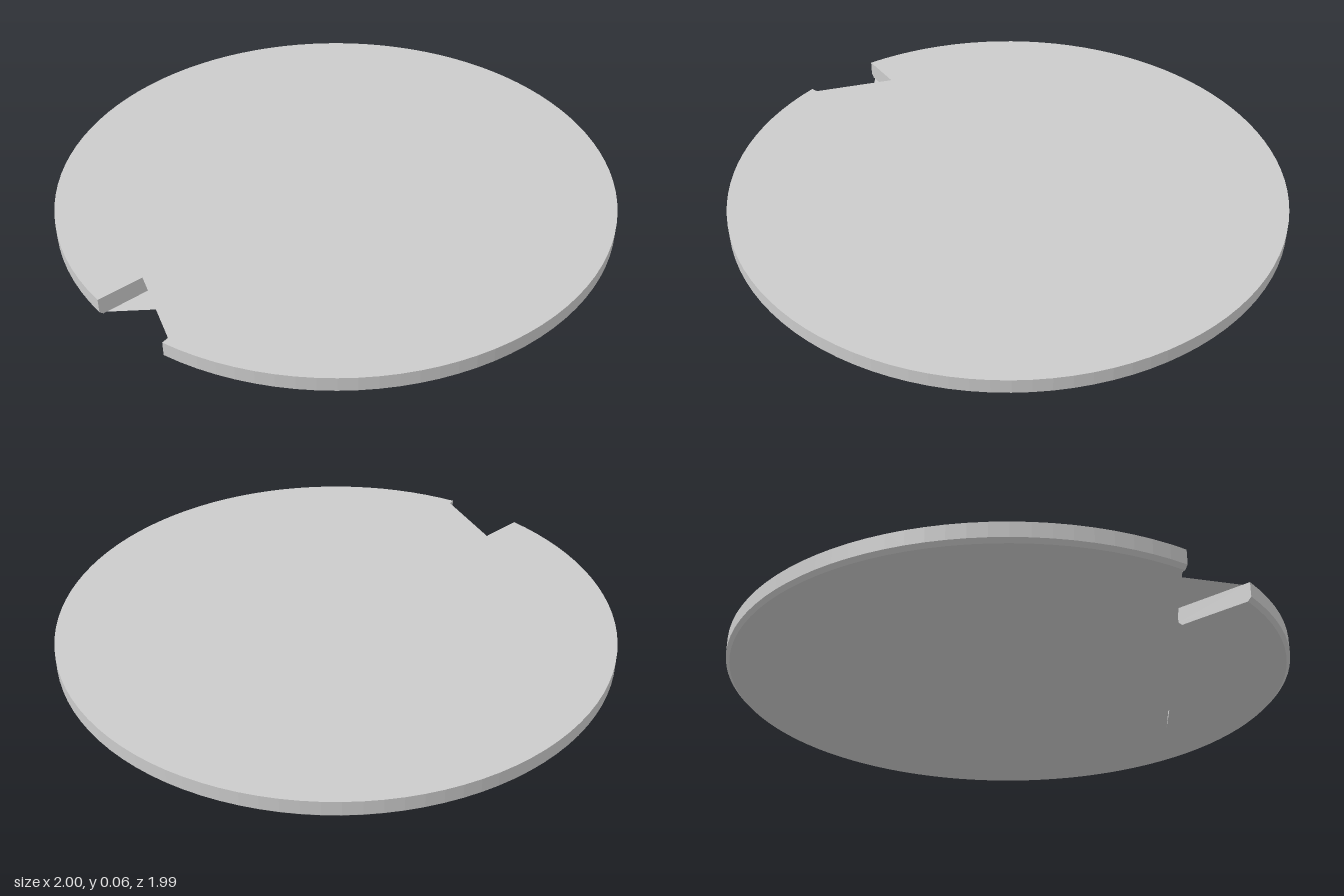
import * as THREE from 'three';

const HEIGHT = 0.065, CHAMFER = 0.013;
const OUTER = 1, INNER = 0.73;
const START = 0.1, END = Math.PI * 2 - 0.201; // gap lies at the front between END and START
const SEGMENTS = 96;

export function createModel() {
  const group = new THREE.Group();
  const material = new THREE.MeshStandardMaterial({
    color: 0xcccccc, flatShading: true, side: THREE.DoubleSide,
  });
  const add = (name, geometry) => {
    const mesh = new THREE.Mesh(geometry, material);
    mesh.name = name;
    group.add(mesh);
  };

  // Curved walls, open at the gap
  const wall = (name, profile) => add(name, new THREE.LatheGeometry(
    profile.map(([r, y]) => new THREE.Vector2(r, y)), SEGMENTS, START, END - START));
  const outerProfile = [[OUTER - CHAMFER, 0], [OUTER, CHAMFER], [OUTER, HEIGHT]];
  const innerProfile = [[INNER, HEIGHT], [INNER, CHAMFER], [INNER + CHAMFER, 0]];
  wall('outerRim', outerProfile);
  wall('innerWall', innerProfile);

  // Radial walls closing the two ends of the ring
  const section = new THREE.Shape(
    [...outerProfile, ...innerProfile].map(([r, y]) => new THREE.Vector2(r, y)));
  for (const [name, angle] of [['leftGapWall', START], ['rightGapWall', END]]) {
    add(name, new THREE.ShapeGeometry(section).rotateY(angle - Math.PI / 2));
  }

  // Flat faces: the rim arc closed by the given [x, z] corners
  const cap = (radius, corners) => {
    const points = [];
    for (let i = 0; i <= SEGMENTS; i++) {
      const t = START + (END - START) * i / SEGMENTS;
      points.push(new THREE.Vector2(radius * Math.sin(t), radius * Math.cos(t)));
    }
    corners.forEach(([x, z]) => points.push(new THREE.Vector2(x, z)));
    return new THREE.ShapeGeometry(new THREE.Shape(points)).rotateX(Math.PI / 2);
  };

  // Top face with a V notch, turned to face up
  const top = cap(OUTER, [[-0.165, 0.815], [0.1, 0.97]]).translate(0, HEIGHT, 0);
  top.setIndex(Array.from(top.index.array).reverse());
  top.computeVertexNormals();
  add('topFace', top);

  // Underside with a slanted cut that runs on into a thin slit
  add('underside', cap(OUTER - CHAMFER, [[-0.195, 0.955], [0.74, 0.13], [0.076, 0.738]]));

  return group;
}
